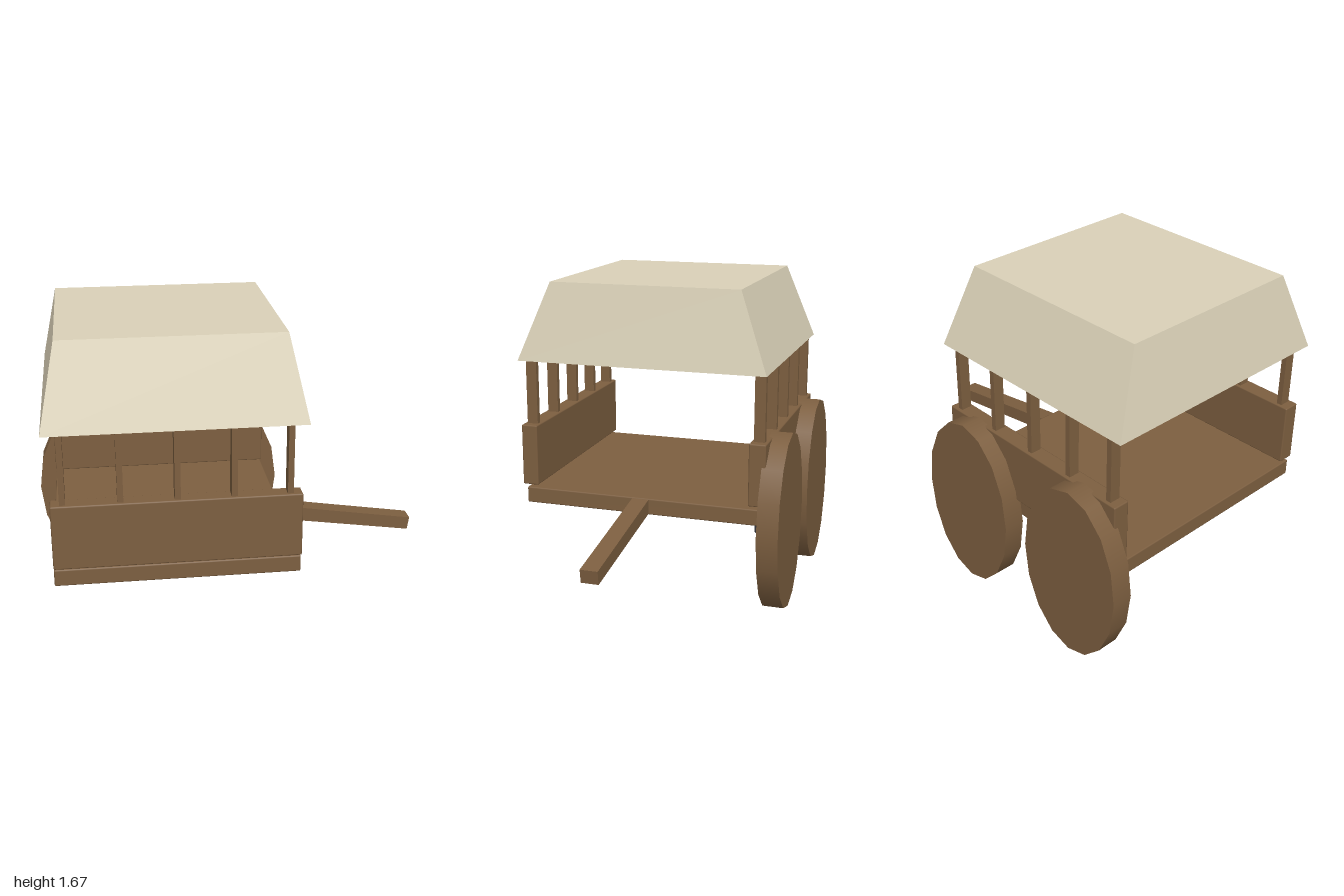
import * as THREE from 'three';
import { RoundedBoxGeometry } from 'three/addons/geometries/RoundedBoxGeometry.js';

export function createModel() {
  const model = new THREE.Group();
  model.name = 'coveredCart';

  const wood = new THREE.MeshStandardMaterial({ color: 0x7d5f40 });
  wood.name = 'wood';
  const canvas = new THREE.MeshStandardMaterial({ color: 0xdad1b8 });
  canvas.name = 'canvas';
  const iron = new THREE.MeshStandardMaterial({ color: 0x3d3d43 });
  iron.name = 'iron';

  function add(name, geometry, material) {
    const mesh = new THREE.Mesh(geometry, material);
    mesh.name = name;
    model.add(mesh);
    return mesh;
  }

  // Box given by its limits, with an optional small bevel
  function box(name, [x0, x1], [y0, y1], [z0, z1], bevel = 0) {
    const size = [x1 - x0, y1 - y0, z1 - z0];
    const geometry = bevel
      ? new RoundedBoxGeometry(...size, 1, bevel)
      : new THREE.BoxGeometry(...size);
    geometry.translate((x0 + x1) / 2, (y0 + y1) / 2, (z0 + z1) / 2);
    return add(name, geometry, wood);
  }

  // Cart bed and the two side boards
  box('bed', [-0.905, 0.28], [0.503, 0.588], [-0.585, 0.675], 0.007);
  box('frontSideBoard', [-0.905, 0.28], [0.602, 0.925], [0.612, 0.698], 0.007);
  box('backSideBoard', [-0.905, 0.28], [0.602, 0.925], [-0.607, -0.52], 0.007);

  // Five roof posts along each side
  for (let i = 0; i < 5; i++) {
    const x = -0.847 + i * 0.267;
    box('frontPost', [x - 0.014, x + 0.014], [0.9, 1.275], [0.625, 0.682]);
    box('backPost', [x - 0.014, x + 0.014], [0.9, 1.275], [-0.591, -0.535]);
  }

  // Tapered roof: a box with its top corners drawn in
  const roof = new THREE.BoxGeometry(1.235, 0.4, 1.302);
  roof.translate(-0.3125, 1.47, 0.044);
  const p = roof.attributes.position;
  for (let i = 0; i < p.count; i++) {
    if (p.getY(i) < 1.5) continue;
    p.setX(i, p.getX(i) < -0.3 ? -0.848 : 0.223);
    p.setZ(i, p.getZ(i) < 0 ? -0.455 : 0.54);
  }
  const flatRoof = roof.toNonIndexed();
  flatRoof.computeVertexNormals();
  add('roof', flatRoof, canvas);

  // Sloping draw shaft
  const shaft = new THREE.Shape([
    new THREE.Vector2(0.26, 0.51),
    new THREE.Vector2(0.99, 0.402),
    new THREE.Vector2(1.0, 0.47),
    new THREE.Vector2(0.26, 0.586),
  ]);
  const shaftGeometry = new THREE.ExtrudeGeometry(shaft, { depth: 0.088, bevelEnabled: false });
  add('shaft', shaftGeometry, wood);

  // Two oval wheels with faceted hubs, on the back side only
  for (const x of [-0.693, 0.067]) {
    const wheel = new THREE.CylinderGeometry(0.47, 0.47, 0.11, 16);
    wheel.rotateX(Math.PI / 2).scale(0.307 / 0.47, 1, 1).translate(x, 0.472, -0.642);
    add('wheel', wheel, wood);

    const hub = new THREE.CylinderGeometry(0.088, 0.088, 0.175, 8).toNonIndexed();
    hub.rotateX(Math.PI / 2).scale(0.058 / 0.088, 1, 1).translate(x, 0.472, -0.6075);
    hub.computeVertexNormals();
    add('hub', hub, iron);
  }

  return model;
}
